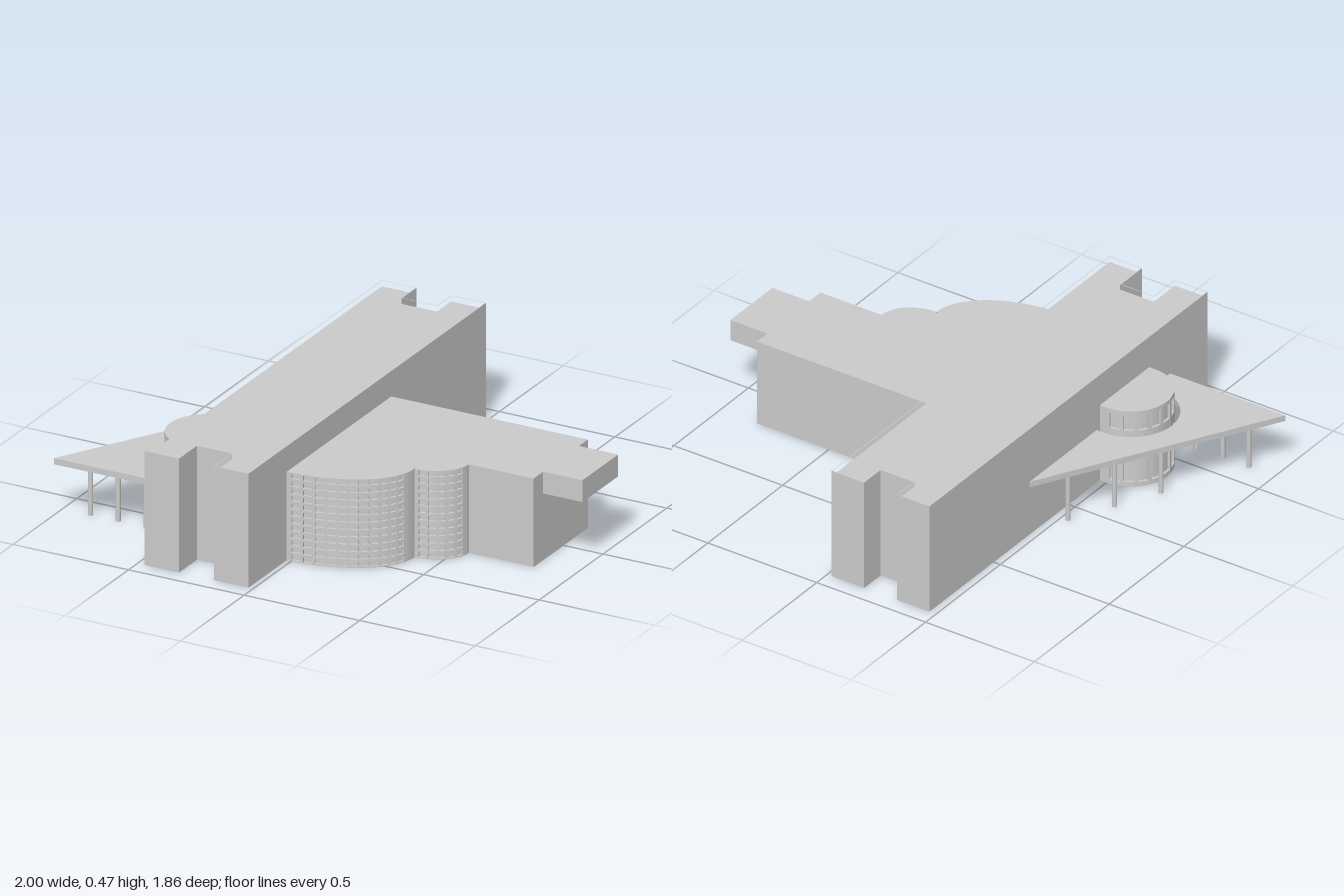
import * as THREE from 'three';

const grey = new THREE.MeshStandardMaterial({ color: 0xcccccc, flatShading: true });
const rad = THREE.MathUtils.degToRad;

// Points on a plan ellipse; angle 0 points to +z, 90 to +x
function arc(e, inset, a0, a1, n) {
  const pts = [];
  for (let i = 0; i <= n; i++) {
    const a = rad(a0 + (a1 - a0) * i / n);
    pts.push([e.x + (e.rx - inset) * Math.sin(a), e.z + (e.rz - inset) * Math.cos(a)]);
  }
  return pts;
}

// Upright prism from a plan outline of [x, z] points
function prism(parent, name, outline, y0, y1, hole) {
  const toV = (p) => new THREE.Vector2(p[0], -p[1]);
  const shape = new THREE.Shape(outline.map(toV));
  if (hole) shape.holes.push(new THREE.Path(hole.map(toV)));
  const geo = new THREE.ExtrudeGeometry(shape, { depth: y1 - y0, bevelEnabled: false });
  geo.rotateX(-Math.PI / 2);
  const mesh = new THREE.Mesh(geo, grey);
  mesh.position.y = y0;
  mesh.name = name;
  parent.add(mesh);
  return mesh;
}

function rect(x0, x1, z0, z1) {
  return [[x0, z0], [x1, z0], [x1, z1], [x0, z1]];
}

// Curved grid of floor bands and mullions that leaves recessed windows
function facade(parent, name, e, depth, a0, a1, bands, height, cols, c0, c1, mullion) {
  const g = new THREE.Group();
  g.name = name;
  const shell = (s, t, n) => [...arc(e, 0, s, t, n), ...arc(e, depth, t, s, n)];
  bands.forEach(([y0, y1]) => prism(g, 'floorBand', shell(a0, a1, cols * 3), y0, y1));
  const step = (c1 - c0) / cols;
  for (let i = 0; i <= cols; i++) {
    const c = c0 + i * step;
    const s = i === 0 ? a0 : c - mullion / 2;
    const t = i === cols ? a1 : c + mullion / 2;
    prism(g, 'mullion', shell(s, t, 3), 0, height);
  }
  parent.add(g);
}

export function createModel() {
  const model = new THREE.Group();
  model.name = 'building';

  // Long main block with a notch in each end and a thin parapet
  const plan = (i) => [
    [-0.47 + i, -0.93 + i], [-0.32 - i, -0.93 + i], [-0.32 - i, -0.82 + i], [-0.17 + i, -0.82 + i],
    [-0.17 + i, -0.93 + i], [-0.02 - i, -0.93 + i], [-0.02 - i, 0.93 - i], [-0.17 + i, 0.93 - i],
    [-0.17 + i, 0.79 - i], [-0.32 - i, 0.79 - i], [-0.32 - i, 0.93 - i], [-0.47 + i, 0.93 - i],
  ];
  prism(model, 'mainBlock', plan(0), 0, 0.445);
  prism(model, 'parapet', plan(0), 0.445, 0.47, plan(0.003));

  // Side wing with two curved bays
  const H = 0.365, d = 0.01;
  const bigBay = { x: -0.02, z: 0.37, rx: 0.41, rz: 0.26 };
  const smallBay = { x: 0.39, z: 0.235, rx: 0.16, rz: 0.135 };
  prism(model, 'sideWing', [
    [-0.02, -0.19], [0.83, -0.19], [0.83, 0.235],
    ...arc(smallBay, d, 90, 0, 18), ...arc(bigBay, d, 90, 0, 36),
  ], 0, H);
  prism(model, 'overhang', rect(0.83, 1, -0.12, 0.16), 0.275, H);

  const floors = 12, pitch = H / floors, bands = [];
  for (let i = 0; i <= floors; i++) {
    bands.push([Math.max(0, i * pitch - 0.005), Math.min(H, i * pitch + 0.005)]);
  }
  facade(model, 'bigBayFacade', bigBay, d, 0, 90, bands, H, 11, 2, 77, 1.6);
  facade(model, 'smallBayFacade', smallBay, d, 0, 90, bands, H, 5, 4, 76, 4);

  // Round-ended stair tower
  const tower = { x: -0.5, z: 0.375, rx: 0.165, rz: 0.165 };
  const towerH = 0.335;
  prism(model, 'stairTower', [
    [-0.47, 0.54], [-0.5, 0.54], ...arc(tower, 0.01, 0, -180, 32), [-0.5, 0.21], [-0.47, 0.21],
  ], 0, towerH);
  facade(model, 'towerFacade', tower, 0.01, -180, 0,
    [[0, 0.02], [0.115, 0.14], [0.205, 0.25], [0.318, towerH]], towerH, 9, -178, -2, 5);

  // Triangular canopy with a gap around the tower
  const gap = { x: -0.5, z: 0.375, rx: 0.187, rz: 0.187 };
  prism(model, 'canopy', [
    [-0.47, -0.26], [-1, 0.68], [-0.47, 0.68], [-0.47, 0.562],
    ...arc(gap, 0, 0, -180, 24), [-0.47, 0.188],
  ], 0.21, 0.235);

  // Slim canopy columns along the slanted and front edges
  const spots = [[-0.53, -0.09], [-0.62, 0.09], [-0.71, 0.27],
    [-0.52, 0.61], [-0.64, 0.61], [-0.76, 0.61], [-0.88, 0.61]];
  const columnMaterial = new THREE.MeshStandardMaterial({ color: 0xcccccc });
  spots.forEach(([x, z]) => {
    const column = new THREE.Mesh(new THREE.CylinderGeometry(0.01, 0.01, 0.21, 16), columnMaterial);
    column.position.set(x, 0.105, z);
    column.name = 'canopyColumn';
    model.add(column);
  });

  return model;
}
